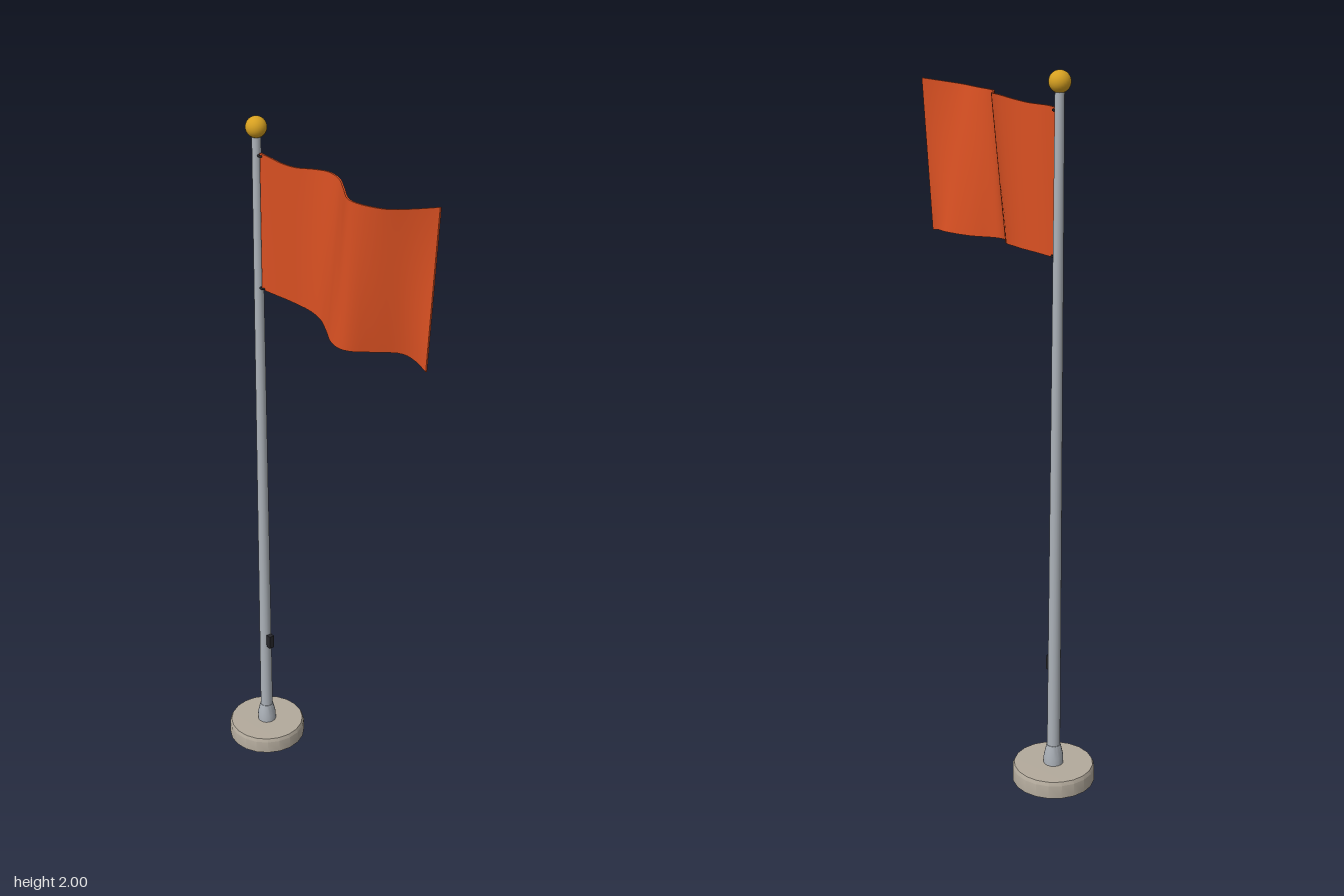
import * as THREE from 'three';
import { toCreasedNormals } from 'three/addons/utils/BufferGeometryUtils.js';

const POLE_X = -0.255;
const material = (name, color) => {
  const m = new THREE.MeshStandardMaterial({ color });
  m.name = name;
  return m;
};
const curve = (points) => new THREE.CatmullRomCurve3(points.map((p) => new THREE.Vector3(...p)));

// Waving cloth: a closed slab stretched between a top and a bottom edge curve
function clothGeometry(top, bottom, thickness, cols, rows) {
  const geo = new THREE.BoxGeometry(1, 1, 1, cols, rows, 1);
  const pos = geo.attributes.position;
  const a = new THREE.Vector3(), b = new THREE.Vector3();
  for (let i = 0; i < pos.count; i++) {
    const u = THREE.MathUtils.clamp(pos.getX(i) + 0.5, 0, 1);
    const v = pos.getY(i) + 0.5;
    const side = pos.getZ(i);
    top.getPoint(u, a);
    bottom.getPoint(u, b).lerp(a, v);
    pos.setXYZ(i, b.x, b.y, b.z + side * thickness);
  }
  geo.computeVertexNormals();
  return geo;
}

export function createModel() {
  const model = new THREE.Group();
  const stone = material('stone', 0xb3aa9c);
  const metal = material('brushed metal', 0xacb2b9);
  const gold = material('gold', 0xd6a021);
  const orange = material('orange cloth', 0xd95022);
  const black = material('black fittings', 0x26262a);

  const add = (name, geometry, mat, x, y, z = 0) => {
    const mesh = new THREE.Mesh(geometry, mat);
    mesh.name = name;
    mesh.position.set(x, y, z);
    model.add(mesh);
    return mesh;
  };
  const lathe = (profile, sides) =>
    toCreasedNormals(new THREE.LatheGeometry(profile.map((p) => new THREE.Vector2(...p)), sides), 0.5);

  // Round foot with a small bevel
  add('base', lathe([[0, 0], [0.117, 0], [0.117, 0.039], [0.112, 0.049], [0, 0.05]], 20), stone, POLE_X, 0);

  // Socket and tapering pole
  add('poleSocket', lathe([[0.028, 0.048], [0.028, 0.072], [0.02, 0.108], [0.015, 0.108]], 16), metal, POLE_X, 0);
  add('pole', new THREE.CylinderGeometry(0.0125, 0.019, 1.9, 16), metal, POLE_X, 1.0);

  // Ball on top
  add('finial', new THREE.SphereGeometry(0.029, 24, 16), gold, POLE_X, 1.971);

  // Rope cleat low on the pole
  add('cleat', new THREE.BoxGeometry(0.018, 0.042, 0.016), black, POLE_X + 0.023, 0.355);

  // Clips holding the cloth
  for (const y of [1.898, 1.524]) {
    const clip = add('flagClip', new THREE.TorusGeometry(0.007, 0.003, 8, 16), black, -0.236, y);
    clip.rotation.x = Math.PI / 2;
  }

  // Flag with the lower edge rippling ahead of the upper edge
  const topEdge = curve([
    [-0.238, 1.905, 0], [-0.19, 1.904, 0.002], [-0.145, 1.901, 0.001], [-0.1, 1.9, -0.008],
    [-0.05, 1.905, -0.027], [0, 1.909, -0.037], [0.05, 1.906, -0.03], [0.1, 1.9, -0.003],
    [0.15, 1.896, 0.027], [0.18, 1.895, 0.032], [0.23, 1.895, 0.022], [0.28, 1.898, 0.004],
    [0.33, 1.904, -0.038], [0.371, 1.91, -0.08],
  ]);
  const bottomEdge = curve([
    [-0.238, 1.52, 0], [-0.19, 1.519, -0.005], [-0.145, 1.518, -0.011], [-0.1, 1.516, -0.016],
    [-0.05, 1.514, -0.018], [0, 1.509, -0.011], [0.05, 1.502, 0.011], [0.1, 1.494, 0.036],
    [0.135, 1.49, 0.041], [0.165, 1.488, 0.03], [0.21, 1.488, -0.015], [0.27, 1.492, -0.06],
    [0.32, 1.489, -0.062], [0.367, 1.478, -0.055],
  ]);
  add('flag', clothGeometry(topEdge, bottomEdge, 0.005, 48, 12), orange, 0, 0);

  return model;
}
